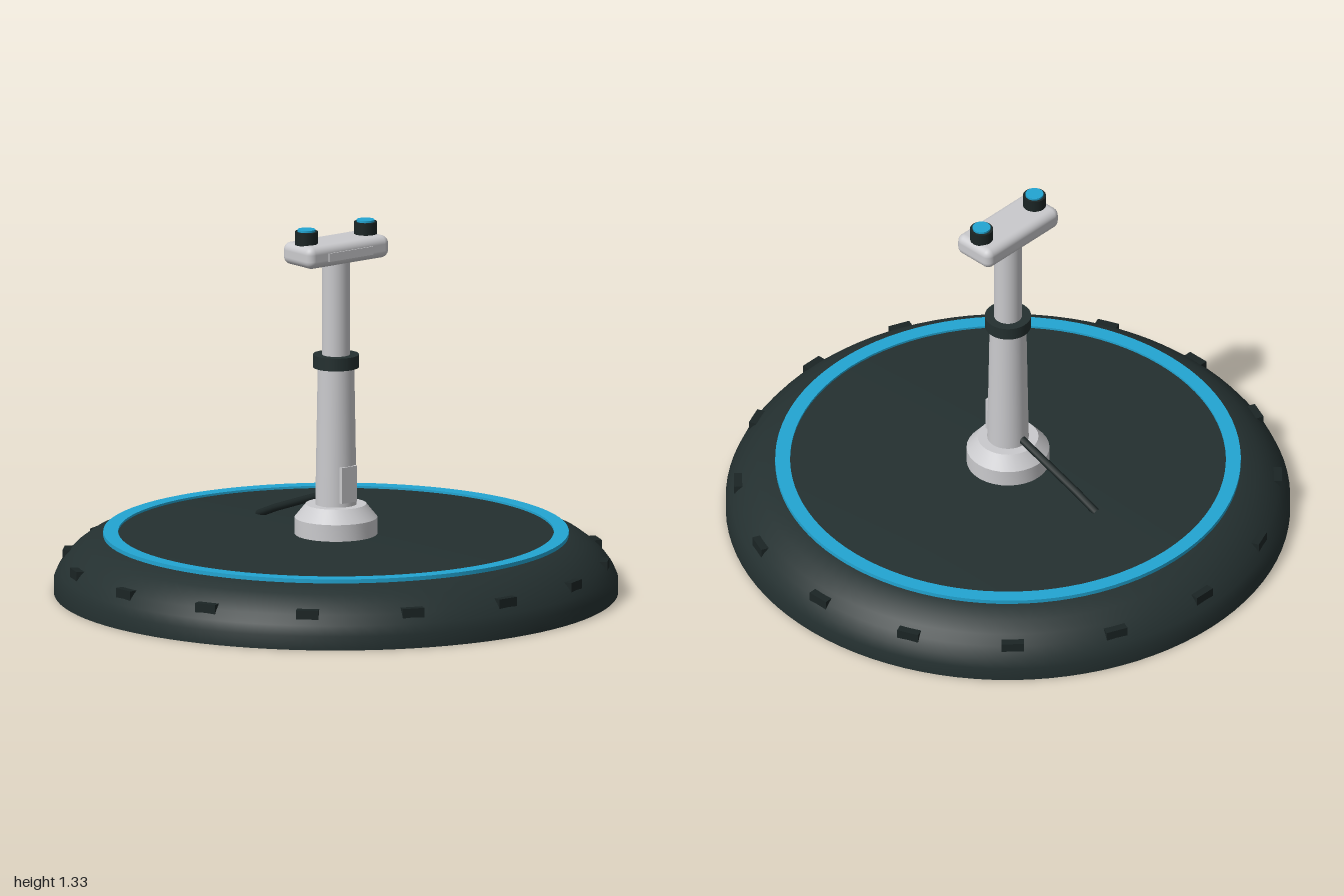
import * as THREE from 'three';
import { RoundedBoxGeometry } from 'three/addons/geometries/RoundedBoxGeometry.js';
import { toCreasedNormals } from 'three/addons/utils/BufferGeometryUtils.js';

export function createModel() {
  const model = new THREE.Group();
  const material = (name, color) => {
    const m = new THREE.MeshStandardMaterial({ color });
    m.name = name;
    return m;
  };
  const dark = material('dark rubber', 0x243030);
  const black = material('black trim', 0x1b2525);
  const grey = material('light grey', 0xcacacd);
  const blue = material('blue accent', 0x22a5d2);

  const add = (name, geometry, mat, x = 0, y = 0, z = 0, parent = model) => {
    const mesh = new THREE.Mesh(geometry, mat);
    mesh.name = name;
    mesh.position.set(x, y, z);
    parent.add(mesh);
    return mesh;
  };
  // Profile points are [radius, height], listed from the bottom up
  const lathe = (points, segments) => toCreasedNormals(
    new THREE.LatheGeometry(points.map(([r, y]) => new THREE.Vector2(r, y)), segments), 0.6);

  // Wide round base with a rounded shoulder
  add('base', lathe([[0, 0], [1, 0], [1, 0.05], [0.985, 0.085], [0.96, 0.12], [0.93, 0.15],
    [0.89, 0.18], [0.83, 0.205], [0.78, 0.212], [0, 0.212]], 96), dark);

  // Accent ring around the deck
  add('accentRing', lathe([[0.772, 0.205], [0.825, 0.205], [0.825, 0.22],
    [0.772, 0.22], [0.772, 0.205]], 96), blue);

  // Grip lugs around the shoulder
  const lugs = new THREE.Group();
  lugs.name = 'gripLugs';
  model.add(lugs);
  const lugGeometry = new THREE.BoxGeometry(0.08, 0.035, 0.045);
  for (let i = 0; i < 16; i++) {
    const a = (i / 16) * Math.PI * 2;
    const lug = add('gripLug', lugGeometry, black,
      Math.sin(a) * 0.948, 0.12, Math.cos(a) * 0.948, lugs);
    lug.rotation.y = a;
  }

  // Telescoping post
  add('postCollar', lathe([[0, 0.21], [0.147, 0.21], [0.147, 0.272], [0.108, 0.32], [0, 0.32]], 32), grey);
  add('lowerPost', new THREE.CylinderGeometry(0.065, 0.074, 0.52, 32), grey, 0, 0.565);
  add('postPanel', new THREE.BoxGeometry(0.07, 0.13, 0.02), grey, 0, 0.4, 0.066);
  add('clampBand', new THREE.CylinderGeometry(0.082, 0.082, 0.046, 32), dark, 0, 0.838);
  add('upperPost', new THREE.CylinderGeometry(0.05, 0.05, 0.38, 32), grey, 0, 1.03);

  // Crosshead with a raised front plate
  add('crosshead', new RoundedBoxGeometry(0.37, 0.08, 0.165, 4, 0.028), grey, 0, 1.24);
  add('frontPlate', new THREE.BoxGeometry(0.2, 0.03, 0.008), grey, 0, 1.237, 0.083);

  // Two knobs with coloured caps
  for (const side of [-1, 1]) {
    add('knob', new THREE.CylinderGeometry(0.041, 0.041, 0.047, 24), black, side * 0.135, 1.3);
    add('knobCap', new THREE.CylinderGeometry(0.032, 0.032, 0.008, 24), blue, side * 0.135, 1.327);
  }

  // Cable from the post down to the deck
  const cable = new THREE.CurvePath();
  const points = [[0.345, -0.06], [0.335, -0.09], [0.25, -0.34], [0.212, -0.435]]
    .map(([y, z]) => new THREE.Vector3(0, y, z));
  for (let i = 1; i < points.length; i++) cable.add(new THREE.LineCurve3(points[i - 1], points[i]));
  add('cable', new THREE.TubeGeometry(cable, 24, 0.014, 10), black);

  return model;
}
